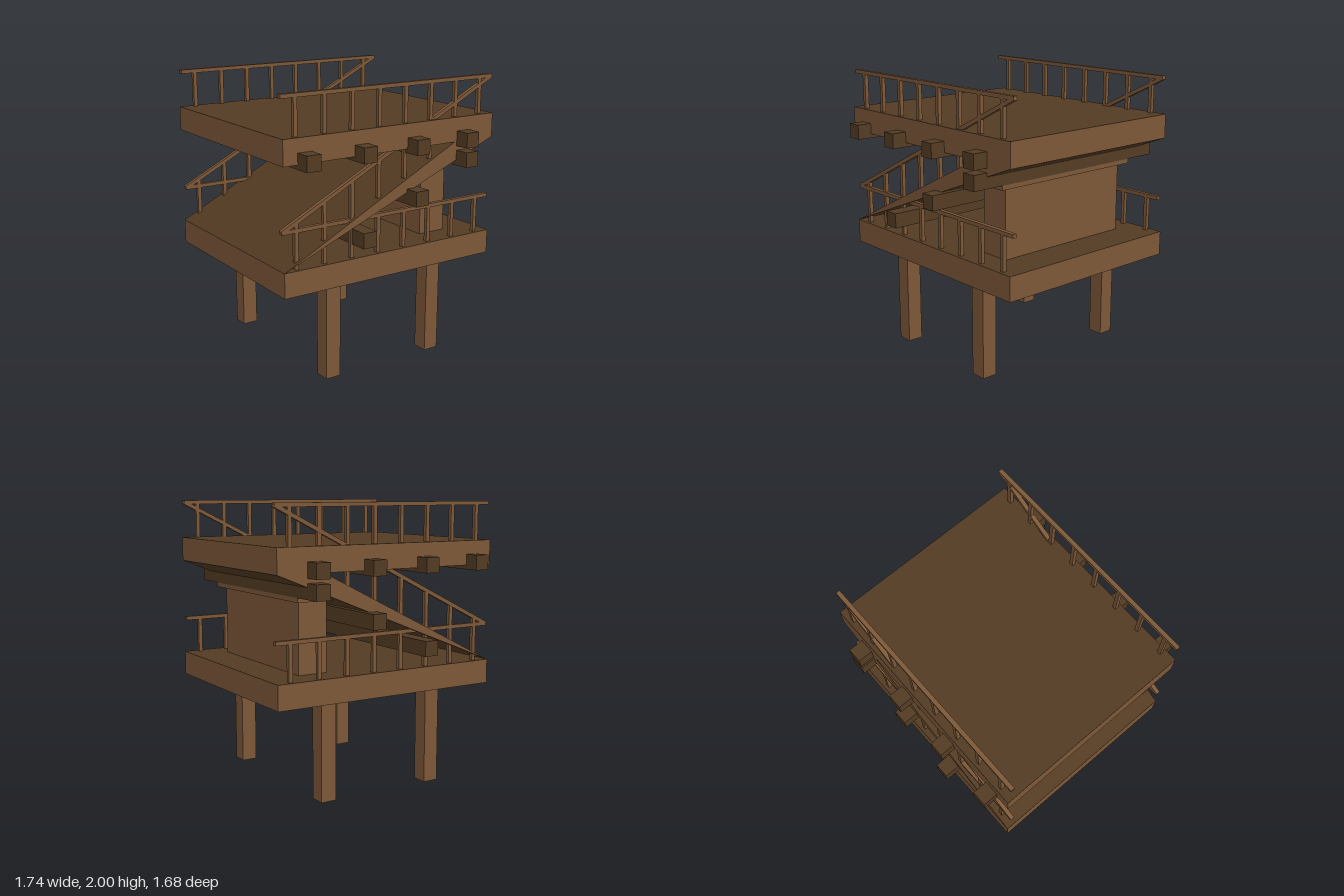
import * as THREE from 'three';

export function createModel() {
  const model = new THREE.Group();
  model.name = 'raisedPlatform';
  const light = new THREE.MeshStandardMaterial({ color: 0x7c5838 });
  light.name = 'light wood';
  const dark = new THREE.MeshStandardMaterial({ color: 0x533b23 });
  dark.name = 'dark wood';

  const W = 0.862, D = 0.733;            // half width and half depth of the decks
  const LOW = 0.865, HIGH = 1.728;       // top surfaces of the decks
  const THICK = 0.172;
  const slope = (HIGH - LOW) / (2 * W);
  const deckMaterials = [light, light, dark, dark, light, light];

  // Box given by its centre and size
  function box(name, x, y, z, w, h, d, material = light, parent = model) {
    const mesh = new THREE.Mesh(new THREE.BoxGeometry(w, h, d), material);
    mesh.position.set(x, y, z);
    mesh.name = name;
    parent.add(mesh);
    return mesh;
  }

  // Decks: light edges, dark boards above and below
  box('lowerDeck', 0, LOW - THICK / 2, 0, 2 * W, THICK, 2 * D, deckMaterials);
  box('upperDeck', 0, HIGH - THICK / 2, 0, 2 * W, THICK, 2 * D, deckMaterials);

  // Legs
  const legHeight = LOW - THICK;
  for (const x of [-0.431, 0.431])
    for (const z of [-0.586, 0.586])
      box('leg', x, legHeight / 2, z, 0.114, legHeight, 0.114);

  // Wedge-shaped ramp between the decks
  const wedge = new THREE.Shape([
    new THREE.Vector2(-W, LOW),
    new THREE.Vector2(W - 0.002, HIGH - THICK),
    new THREE.Vector2(W - 0.002, HIGH - 0.001),
  ]);
  const wedgeGeometry = new THREE.ExtrudeGeometry(wedge, { depth: 2 * D, bevelEnabled: false });
  wedgeGeometry.translate(0, 0, -D);
  const ramp = new THREE.Mesh(wedgeGeometry, [light, dark]);
  ramp.name = 'ramp';
  model.add(ramp);

  // Wall carrying the high end, with a wider cap
  box('supportWall', 0.492, (LOW + 1.37) / 2, 0, 0.215, 1.37 - LOW, 1.078);
  box('wallCap', 0.492, 1.408, 0, 0.3, 0.1, 1.206);

  // Cross beams under the upper deck and under the ramp
  const beams = [
    [-0.703, 1.579], [-0.272, 1.579], [0.159, 1.579], [0.59, 1.579],
    [-0.272, 1.012], [0.159, 1.227], [0.59, 1.443],
  ];
  for (const [x, y] of beams) box('crossBeam', x, y, 0, 0.106, 0.106, 1.68, dark);

  // Railing whose foot and rail follow the line y = base + rise * (x + W)
  function railing(name, base, rise, z) {
    const group = new THREE.Group();
    group.name = name;
    const height = 0.259;
    for (let i = 0; i < 8; i++) {
      const x = (i - 3.5) * 0.2155;
      const foot = base + rise * (x + W);
      box('post', x, foot + height / 2, z, 0.028, height, 0.028, light, group);
    }
    const length = 2 * W * Math.hypot(1, rise);
    const rail = box('handrail', 0, base + rise * W + height, z, length, 0.027, 0.03, light, group);
    rail.rotation.z = Math.atan(rise);
    model.add(group);
  }
  for (const z of [-0.694, 0.694]) {
    railing('lowerRailing', LOW, 0, z);
    railing('rampRailing', LOW, slope, z);
    railing('upperRailing', HIGH, 0, z);
  }

  return model;
}
